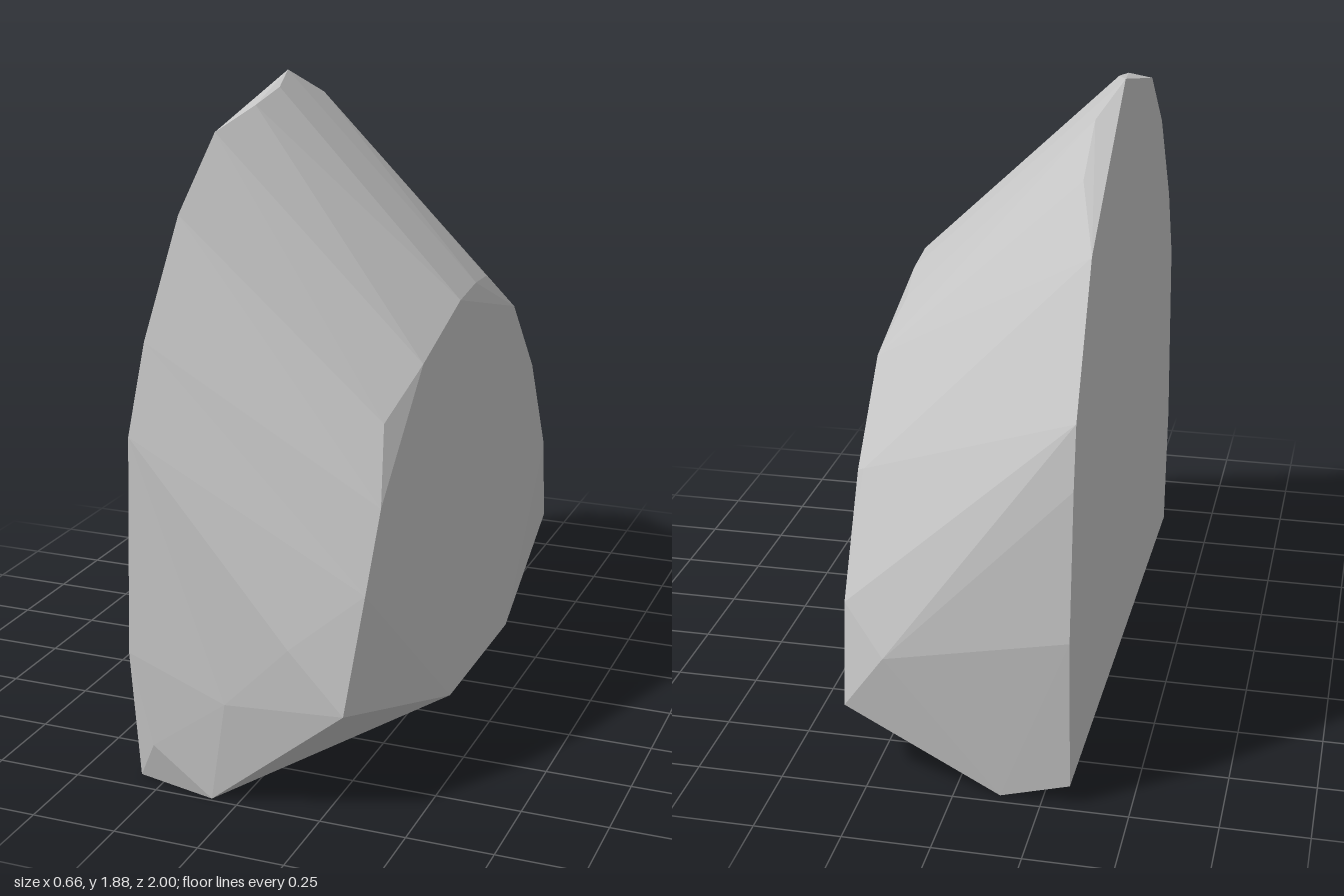
import * as THREE from 'three';
import { ConvexGeometry } from 'three/addons/geometries/ConvexGeometry.js';

const stone = new THREE.MeshStandardMaterial({ color: 0xc5c5c5 });
stone.name = 'stoneGrey';

export function createModel() {
  const group = new THREE.Group();
  group.name = 'rock';

  // Flat tall side, as z, y around its rim
  const tallSide = [
    [0.93, 0], [0.98, 0.4], [0.94, 1.02], [0.83, 1.26], [0.6, 1.57], [0.35, 1.765],
    [-0.19, 1.88], [-0.72, 1.52], [-0.93, 1.13], [-0.96, 0.95], [-1, 0.52], [-0.975, 0.06],
  ];
  // Flat short side, as z, y around its rim
  const shortSide = [
    [0.12, 0], [0.86, 0.62], [0.74, 0.83], [0.4, 1.15], [0.07, 1.26],
    [-0.49, 1.11], [-0.72, 0.85], [-0.89, 0.52], [-0.47, 0],
  ];
  // Chipped corners and the swell of the body, as x, y, z
  const chips = [
    [-0.27, 1.67, -0.52], [-0.27, 1.795, -0.34], [-0.285, 1.85, -0.02], [-0.285, 1.82, 0.16],
    [0.29, 1.03, 0.61], [0.3, 1.235, 0.22], [0.31, 1.265, -0.14], [0.28, 1.24, -0.34],
    [0.31, 0.86, -0.73], [0.31, 0.31, 0.975], [0.15, 0.48, 0.975], [-0.26, 0.13, 0.985],
    [-0.03, 0.3, 1], [-0.08, 0, 0.99], [0.32, 0.23, -0.955], [0.2, 0.4, -0.975],
    [-0.13, 0, -0.968],
  ];

  const points = [
    ...tallSide.map(([z, y]) => new THREE.Vector3(-0.33, y, z)),
    ...shortSide.map(([z, y]) => new THREE.Vector3(0.33, y, z)),
    ...chips.map((p) => new THREE.Vector3(...p)),
  ];

  // One faceted boulder wrapped around the points
  const boulder = new THREE.Mesh(new ConvexGeometry(points), stone);
  boulder.name = 'boulder';
  group.add(boulder);
  return group;
}
